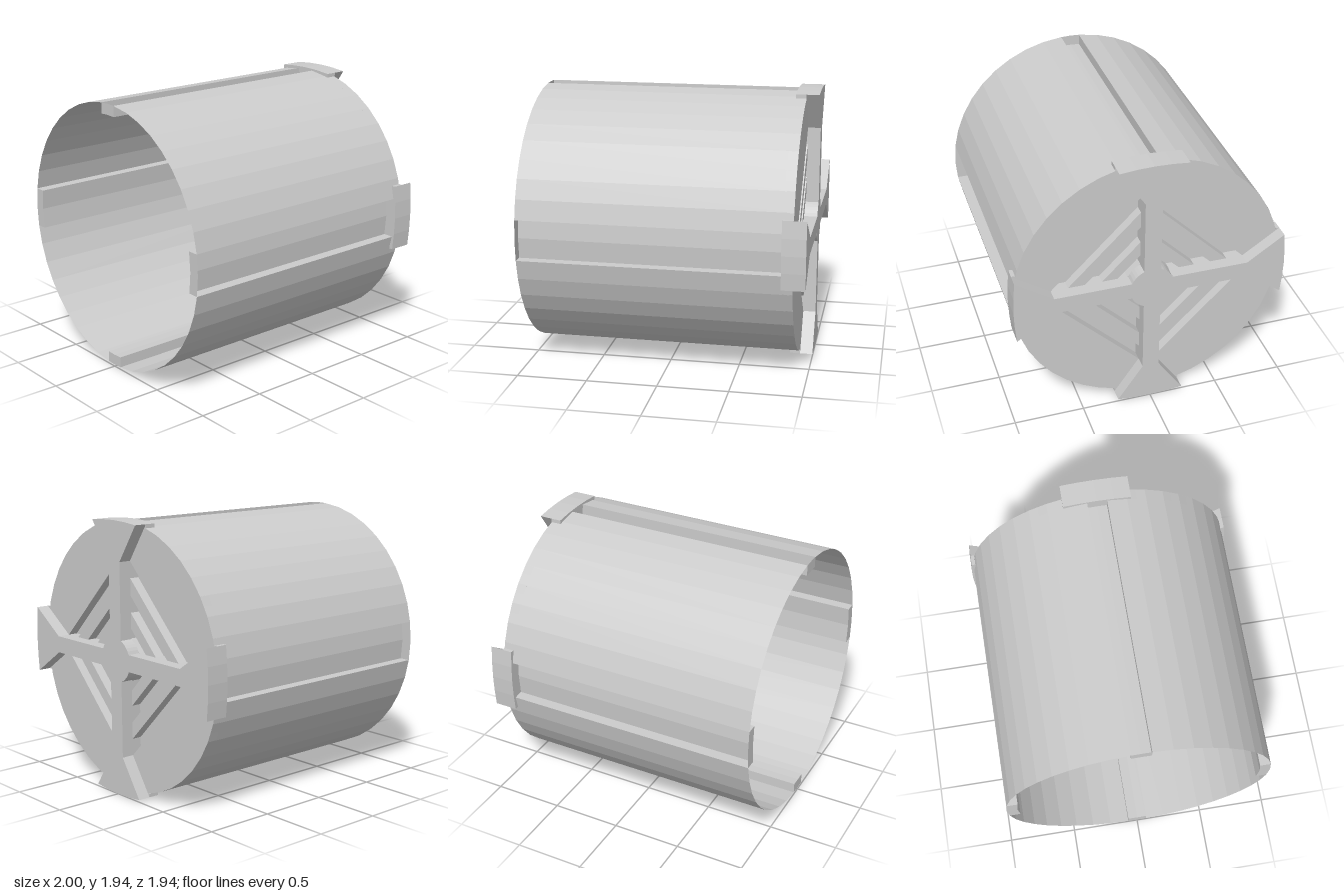
import * as THREE from 'three';

const R = 0.957, FLOOR = 0.88, CENTRE_Y = 0.97;
const BACK = -1, FACE = 0.91, RECESS = 0.84, TIP = 1;
const ARM = 0.06, HUB = 0.157;

const solid = new THREE.MeshStandardMaterial({ color: 0xcccccc, flatShading: true });
const thin = new THREE.MeshStandardMaterial({ color: 0xcccccc, flatShading: true, side: THREE.DoubleSide });

// turn a point by k quarter turns
const turn = ([u, v], k) => {
  for (let i = 0; i < k; i++) [u, v] = [-v, u];
  return new THREE.Vector2(u, v);
};

// extrude a section lying across the tube axis from x0 to x1
function alongX(shape, x0, x1) {
  const g = new THREE.ExtrudeGeometry(shape, { depth: x1 - x0, bevelEnabled: false });
  return g.rotateY(Math.PI / 2).translate(x0, 0, 0);
}

// channel section on the +u side, from edge to edge across its floor
function channel(w) {
  const top = Math.sqrt(R * R - w * w), low = Math.sqrt(FLOOR * FLOOR - w * w);
  return [[top, -w], [low, -w], [FLOOR, 0], [low, w], [top, w]];
}

// fan-shaped arm end: slightly bowed outer edge
const bow = [[0.24, 0.955], [0.12, 0.966], [0, 0.97], [-0.12, 0.966], [-0.24, 0.955]];

export function createModel() {
  const model = new THREE.Group();
  model.name = 'slottedDrum';
  const add = (name, geometry, material = solid) => {
    const m = new THREE.Mesh(geometry, material);
    m.name = name;
    m.position.y = CENTRE_Y;
    model.add(m);
    return m;
  };

  // tube wall section with four sunken channels, wide at the sides, narrow above and below
  const section = [];
  const widths = [0.145, 0.07, 0.145, 0.07];
  widths.forEach((w, k) => {
    const pts = channel(w).map(p => turn(p, k));
    section.push(...pts);
    const a0 = k * Math.PI / 2 + Math.asin(w / R);
    const a1 = (k + 1) * Math.PI / 2 - Math.asin(widths[(k + 1) % 4] / R);
    for (let i = 1; i < 9; i++) {
      const a = a0 + (a1 - a0) * i / 9;
      section.push(new THREE.Vector2(R * Math.cos(a), R * Math.sin(a)));
    }
    // wall closing the open end of the channel
    const end = new THREE.Shape([...pts, turn([R, 0], k)]);
    add('channelEnd', new THREE.ShapeGeometry(end).rotateY(Math.PI / 2).translate(BACK, 0, 0), thin);
  });

  const pos = [];
  section.forEach((a, i) => {
    const b = section[(i + 1) % section.length];
    const A0 = [BACK, a.y, -a.x], A1 = [FACE, a.y, -a.x];
    const B0 = [BACK, b.y, -b.x], B1 = [FACE, b.y, -b.x];
    pos.push(...A0, ...A1, ...B1, ...A0, ...B1, ...B0);
  });
  const wall = new THREE.BufferGeometry();
  wall.setAttribute('position', new THREE.Float32BufferAttribute(pos, 3));
  wall.computeVertexNormals();
  add('tubeWall', wall, thin);

  // end plate with diagonal slots in each quadrant
  const plate = new THREE.Shape();
  for (let i = 0; i < 42; i++) {
    const a = i / 42 * Math.PI * 2;
    plate[i ? 'lineTo' : 'moveTo'](R * Math.cos(a), R * Math.sin(a));
  }
  for (let k = 0; k < 4; k++) {
    for (const [a, b] of [[0.63, 0.75], [0.39, 0.51], [0.21, 0.28]]) {
      const hole = [[b - ARM, ARM], [ARM, b - ARM], [ARM, a - ARM], [a - ARM, ARM]];
      plate.holes.push(new THREE.Path(hole.map(p => turn(p, k))));
    }
  }
  add('endPlate', alongX(plate, RECESS, FACE));

  // floor behind the slots
  add('slotFloor', new THREE.CircleGeometry(0.85, 42).rotateY(Math.PI / 2).translate(RECESS, 0, 0), thin);

  // cross with round hub and flared arm ends
  const cross = [];
  for (let k = 0; k < 4; k++) {
    const reach = Math.sqrt(HUB * HUB - ARM * ARM);
    const arm = [[ARM, reach], [ARM, 0.69], ...bow, [-ARM, 0.69], [-ARM, reach]];
    const a0 = Math.atan2(reach, -ARM), a1 = Math.atan2(ARM, -reach);
    for (let i = 1; i < 5; i++) {
      const a = a0 + (a1 - a0) * i / 5;
      arm.push([HUB * Math.cos(a), HUB * Math.sin(a)]);
    }
    cross.push(...arm.map(p => turn(p, k)));
  }
  add('cross', alongX(new THREE.Shape(cross), FACE, TIP));

  // lips hooking over the tube rim
  for (let k = 0; k < 4; k++) {
    const lip = [...bow, [-0.24, 0.928], [0.24, 0.928]].map(p => turn(p, k));
    add('lip', alongX(new THREE.Shape(lip), 0.835, FACE));
  }
  return model;
}
